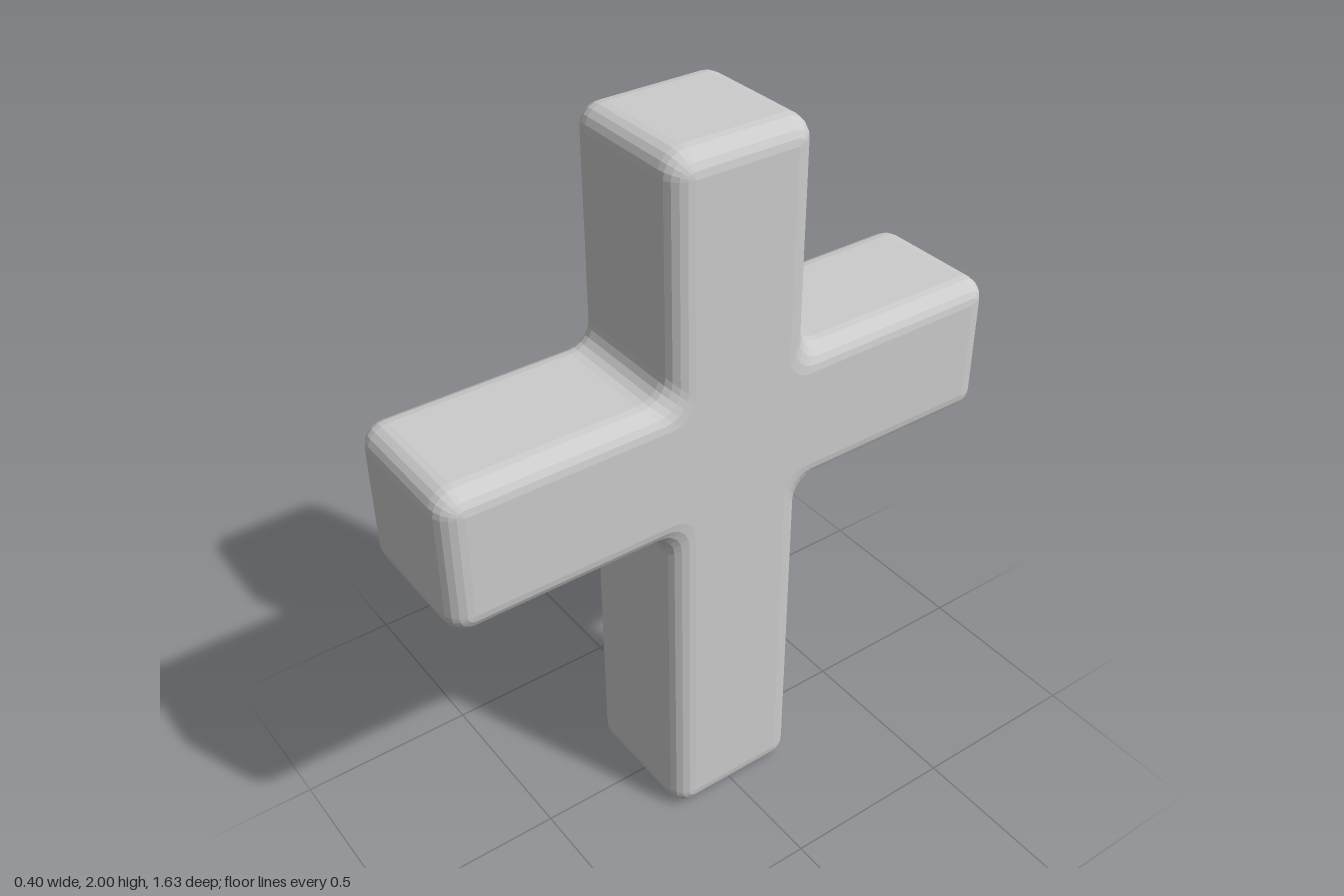
import * as THREE from 'three';

const HALF = 0.2;          // half thickness of every arm
const EDGE = 0.06;         // rounding of the outer edges
const FILLET = 0.065;      // rounding of the inner corners
const CENTRE_Y = 1.185;    // height of the crossing
const ARMS = [0.815, 0.815, 0.815, 1.185]; // back, top, front, bottom
const STEPS = 5;

// Cross outline, counter-clockwise, drawn inward by the given inset
function crossOutline(inset) {
  const h = HALF - inset;
  const r = Math.max(EDGE - inset, 0.001);
  const points = [];
  ARMS.forEach((arm, k) => {
    const len = arm - inset;
    const arc = (cx, cy, radius, from, to) => {
      for (let i = 0; i <= STEPS; i++) {
        const a = THREE.MathUtils.degToRad(from + (to - from) * i / STEPS);
        const p = new THREE.Vector2(cx + radius * Math.cos(a), cy + radius * Math.sin(a));
        points.push(p.rotateAround(new THREE.Vector2(), k * Math.PI / 2));
      }
    };
    arc(len - r, -h + r, r, -90, 0);
    arc(len - r, h - r, r, 0, 90);
    arc(h + FILLET, h + FILLET, FILLET, 270, 180);
  });
  return points;
}

// Outlines lofted across the thickness, with flat caps on both sides
function crossGeometry() {
  const layers = [];
  for (const side of [-1, 1]) {
    for (let i = 0; i <= STEPS; i++) {
      const t = (side < 0 ? STEPS - i : i) / STEPS * Math.PI / 2;
      layers.push({
        x: side * (HALF - EDGE + EDGE * Math.sin(t)),
        outline: crossOutline(EDGE * (1 - Math.cos(t))),
      });
    }
  }
  const positions = [];
  for (const { x, outline } of layers) {
    for (const p of outline) positions.push(x, CENTRE_Y + p.y, -p.x);
  }

  const n = layers[0].outline.length;
  const index = [];
  for (let j = 0; j < layers.length - 1; j++) {
    for (let i = 0; i < n; i++) {
      const a = j * n + i, b = j * n + (i + 1) % n;
      index.push(a, b, b + n, a, b + n, a + n);
    }
  }
  const last = (layers.length - 1) * n;
  for (const [a, b, c] of THREE.ShapeUtils.triangulateShape(layers[0].outline, [])) {
    index.push(a, c, b, last + a, last + b, last + c);
  }

  const geometry = new THREE.BufferGeometry();
  geometry.setAttribute('position', new THREE.Float32BufferAttribute(positions, 3));
  geometry.setIndex(index);
  geometry.computeVertexNormals();
  return geometry;
}

export function createModel() {
  const group = new THREE.Group();
  group.name = 'cross';
  const material = new THREE.MeshStandardMaterial({ color: 0xcccccc, flatShading: true });
  const body = new THREE.Mesh(crossGeometry(), material);
  body.name = 'crossBody';
  group.add(body);
  return group;
}
